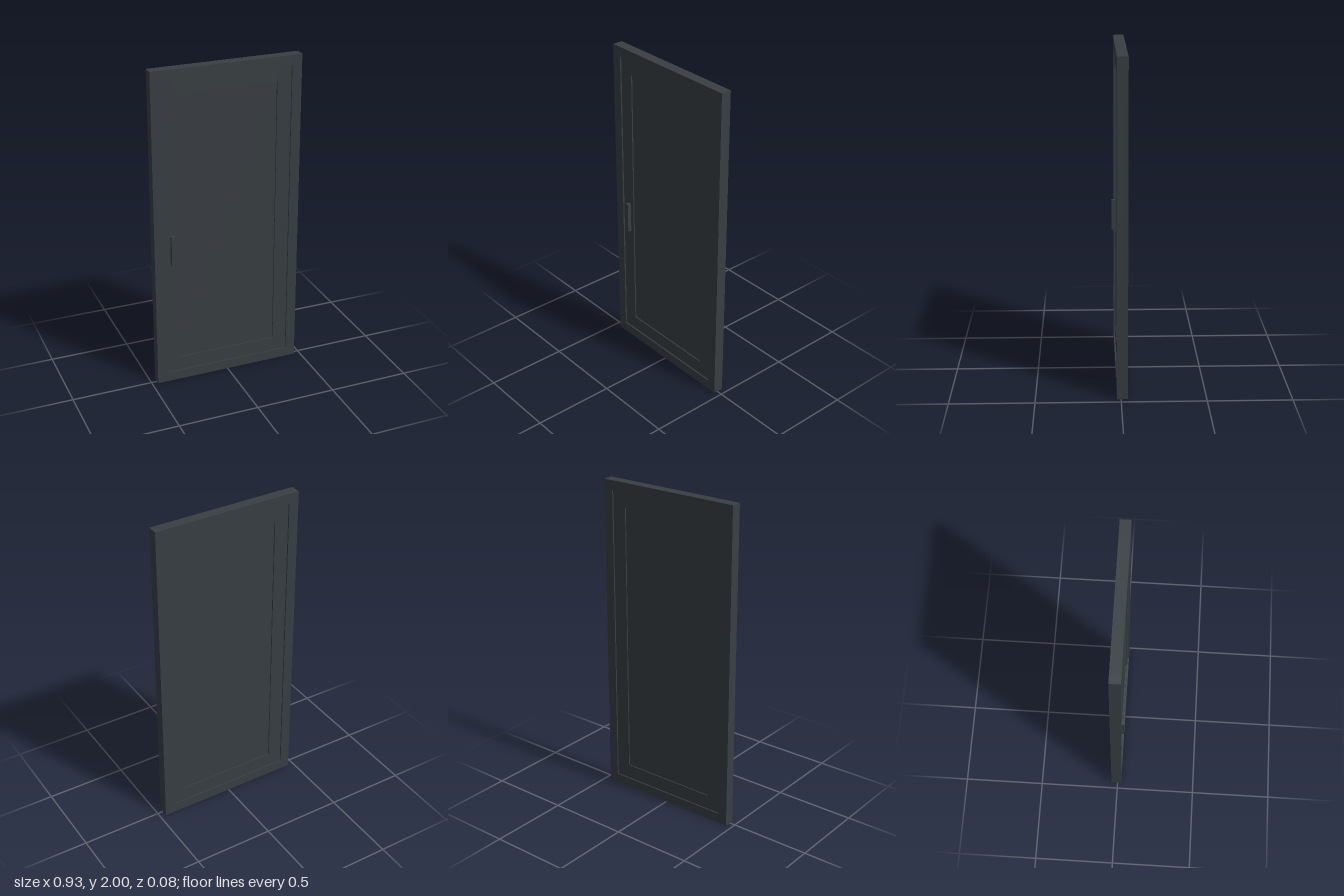
import * as THREE from 'three';

export function createModel() {
  const group = new THREE.Group();
  const material = new THREE.MeshStandardMaterial({ color: 0x383e42 });

  // Box given by its bounds on each axis
  function box(name, [x0, x1], [y0, y1], [z0, z1]) {
    const mesh = new THREE.Mesh(new THREE.BoxGeometry(x1 - x0, y1 - y0, z1 - z0), material);
    mesh.position.set((x0 + x1) / 2, (y0 + y1) / 2, (z0 + z1) / 2);
    mesh.name = name;
    group.add(mesh);
  }

  // Rectangular border: full-height stiles with rails fitted between them
  function border(name, halfWidth, [y0, y1], member, depth) {
    const inner = halfWidth - member;
    box(name + 'RightStile', [-halfWidth, -inner], [y0, y1], depth);
    box(name + 'LeftStile', [inner, halfWidth], [y0, y1], depth);
    box(name + 'BottomRail', [-inner, inner], [y0, y0 + member], depth);
    box(name + 'TopRail', [-inner, inner], [y1 - member, y1], depth);
  }

  // Outer frame, door leaf set back inside it, then the recessed panel
  border('frame', 0.463, [0, 2], 0.061, [-0.04, 0.024]);
  border('leaf', 0.402, [0.061, 1.939], 0.089, [-0.031, 0.015]);
  box('panel', [-0.313, 0.313], [0.15, 1.85], [-0.023, 0.007]);

  // Pull handle on the right stile of the leaf
  box('handle', [-0.361, -0.338], [0.793, 0.986], [0.015, 0.039]);

  return group;
}
